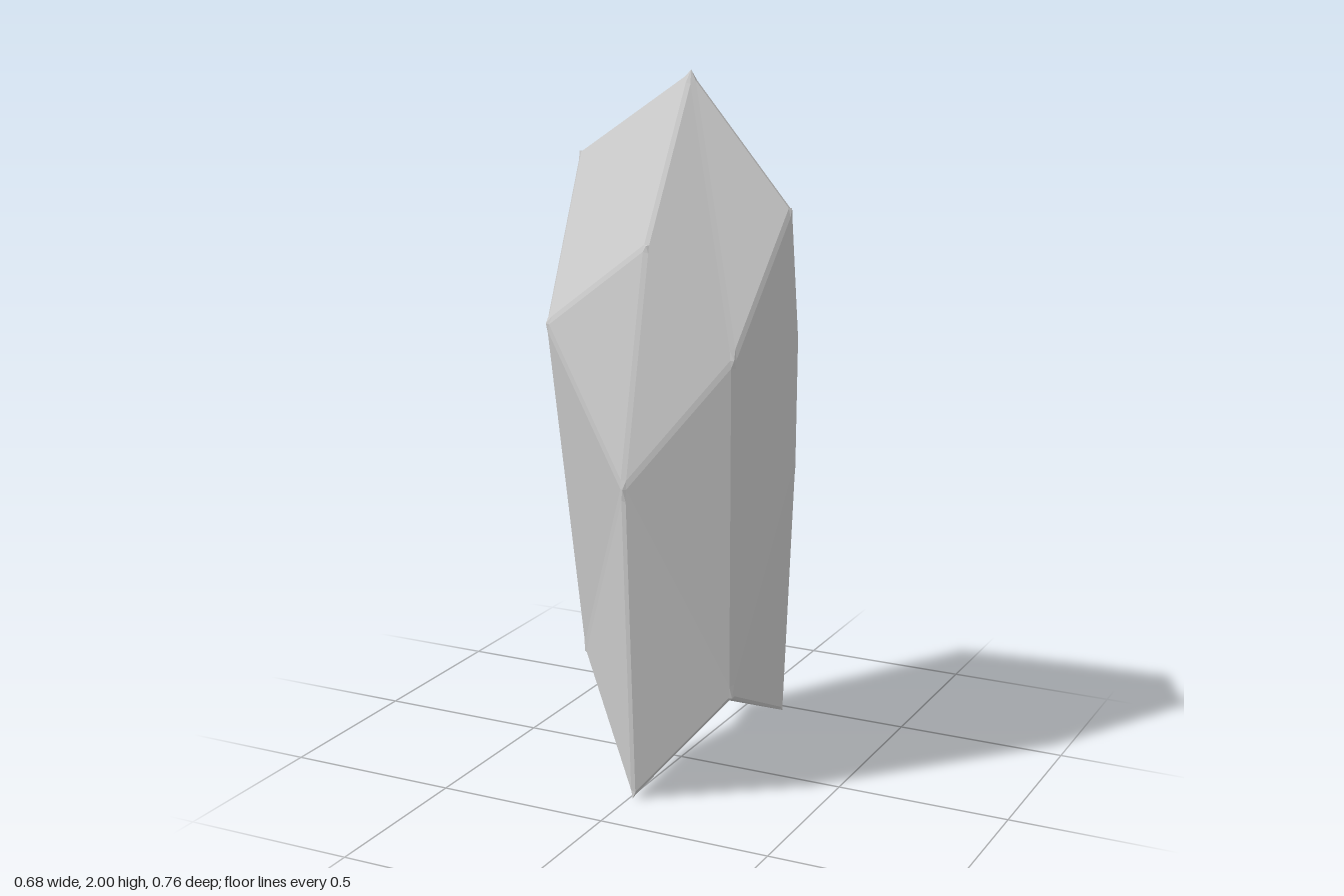
import * as THREE from 'three';

const BEVEL = 0.008; // inset of each facet from its edges
const v = (x, y, z) => new THREE.Vector3(x, y, z);

// Rings run counter-clockwise seen from above, starting at +x; odd entries are corners
const top = v(0.01, 2, -0.04);
const upper = [
  v(0.315, 1.64, -0.04), v(0.24, 1.23, -0.27), v(0.01, 1.54, -0.31), v(-0.32, 1.36, -0.37),
  v(-0.34, 1.76, -0.04), v(-0.29, 1.32, 0.255), v(0.01, 1.555, 0.235), v(0.26, 1.26, 0.21),
];
const middle = [v(0.335, 0.92, -0.04), v(0.01, 0.92, -0.385), v(-0.32, 0.92, -0.04), v(0.01, 0.915, 0.38)];
const lower = [
  v(0.305, 0.185, -0.04), v(0.15, 0.255, -0.31), null, v(-0.21, 0.37, -0.25),
  v(-0.2, 0.41, -0.04), v(-0.22, 0.355, 0.18), v(0.01, 0, 0.33), v(0.26, 0.3, 0.21),
];
const bottom = v(0.01, 0.185, -0.04);

// Triangles from a centre to a closed ring around it
function fan(centre, ring) {
  const r = ring.filter(Boolean);
  return r.map((p, i) => [centre, p, r[(i + 1) % r.length]]);
}

// Move each corner of a triangle inward, parallel to its two edges
function inset([a, b, c]) {
  const la = b.distanceTo(c), lb = c.distanceTo(a), lc = a.distanceTo(b);
  const sum = la + lb + lc;
  const centre = v(0, 0, 0).addScaledVector(a, la / sum).addScaledVector(b, lb / sum).addScaledVector(c, lc / sum);
  const area = b.clone().sub(a).cross(c.clone().sub(a)).length() / 2;
  const t = BEVEL / (2 * area / sum);
  return [a, b, c].map((p) => p.clone().lerp(centre, t));
}

function meshFrom(name, triangles) {
  const geometry = new THREE.BufferGeometry().setFromPoints(triangles.flat());
  geometry.computeVertexNormals();
  const material = new THREE.MeshStandardMaterial({ color: 0xcccccc, flatShading: true });
  const mesh = new THREE.Mesh(geometry, material);
  mesh.name = name;
  return mesh;
}

export function createModel() {
  // Crown, four sides and underside
  const faces = [...fan(top, upper), ...fan(bottom, [...lower].reverse())];
  middle.forEach((m, k) => {
    const s = 2 * k, next = s + 1, prev = (s + 7) % 8;
    faces.push(...fan(m, [upper[next], upper[s], upper[prev], lower[prev], lower[s], lower[next]]));
  });

  // Shrunken facets, with every edge remembered by its end points
  const facets = faces.map(inset);
  const points = [...new Set(faces.flat())];
  const edges = new Map();
  faces.forEach((face, f) => face.forEach((p, i) => {
    const j = (i + 1) % 3;
    edges.set(`${points.indexOf(p)}-${points.indexOf(face[j])}`, { p, q: face[j], ip: facets[f][i], iq: facets[f][j] });
  }));

  // Narrow bevel strips joining neighbouring facets, pointed at both ends
  const strips = [];
  for (const [key, e] of edges) {
    const [a, b] = key.split('-').map(Number);
    const o = edges.get(`${b}-${a}`);
    if (a > b || !o) continue;
    strips.push([e.iq, e.ip, o.iq], [e.iq, o.iq, o.ip], [e.p, o.iq, e.ip], [e.q, e.iq, o.ip]);
  }

  const group = new THREE.Group();
  group.name = 'crystal';
  group.add(meshFrom('crystalFacets', facets), meshFrom('crystalBevels', strips));
  return group;
}
